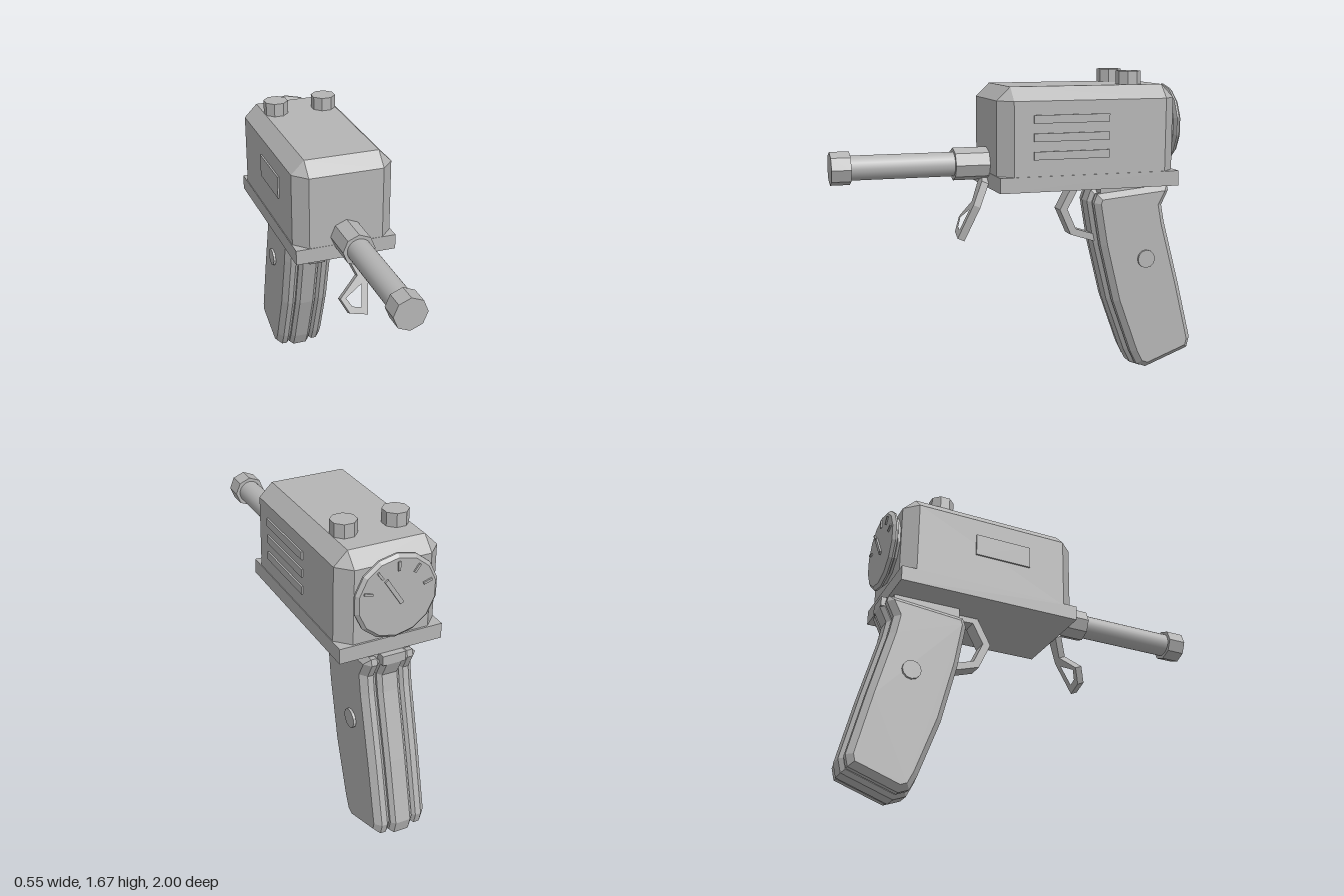
import * as THREE from 'three';
import { ConvexGeometry } from 'three/addons/geometries/ConvexGeometry.js';

export function createModel() {
  const model = new THREE.Group();
  const grey = new THREE.MeshStandardMaterial({ color: 0xb4b4b4 });
  grey.name = 'grey';

  const add = (name, geometry, x = 0, y = 0, z = 0) => {
    const mesh = new THREE.Mesh(geometry, grey);
    mesh.name = name;
    mesh.position.set(x, y, z);
    model.add(mesh);
    return mesh;
  };
  const box = (name, x0, x1, y0, y1, z0, z1) =>
    add(name, new THREE.BoxGeometry(x1 - x0, y1 - y0, z1 - z0), (x0 + x1) / 2, (y0 + y1) / 2, (z0 + z1) / 2);

  // Flat-sided prism of n sides, standing on y
  const prism = (r, h, n, turn = 0) => {
    const g = new THREE.CylinderGeometry(r, r, h, n).toNonIndexed();
    g.rotateY(turn);
    g.computeVertexNormals();
    return g;
  };

  // Outline given as [z, y] pairs, extruded evenly to both sides of x = 0
  const sideExtrude = (points, width, bevel = 0, inset = 0) => {
    const shape = new THREE.Shape(points.map(([z, y]) => new THREE.Vector2(-z, y)));
    const g = new THREE.ExtrudeGeometry(shape, {
      depth: width - 2 * bevel, bevelEnabled: bevel > 0, bevelSegments: 1,
      bevelSize: bevel, bevelThickness: bevel, bevelOffset: -bevel - inset,
    });
    g.translate(0, 0, bevel - width / 2);
    return g.rotateY(Math.PI / 2);
  };

  // Housing with chamfered top and vertical edges, on a flat base
  box('basePlate', -0.271, 0.271, 1.07, 1.15, -0.81, 0.18);
  const corners = [];
  for (const s of [-1, 1]) {
    for (const [inner, outer] of [[0.105, 0.178], [-0.73, -0.8]]) {
      corners.push(new THREE.Vector3(s * 0.198, 1.605, inner));
      for (const y of [1.14, 1.535]) {
        corners.push(new THREE.Vector3(s * 0.267, y, inner), new THREE.Vector3(s * 0.198, y, outer));
      }
    }
  }
  add('housing', new ConvexGeometry(corners));

  // Side vents and plate
  for (const y of [1.257, 1.35, 1.443]) box('vent', 0.26, 0.276, y - 0.021, y + 0.021, -0.41, 0);
  box('sidePlate', -0.276, -0.26, 1.32, 1.44, -0.41, -0.1);

  // Top knobs
  for (const x of [-0.135, 0.135]) add('topKnob', prism(0.066, 0.08, 8, Math.PI / 8), x, 1.635, -0.565);

  // Rear dial with needle and ticks
  const profile = [[0, 0], [0.19, 0], [0.19, 0.02], [0.217, 0.03], [0.217, 0.04], [0.2, 0.055], [0, 0.055]];
  const dialGeo = new THREE.LatheGeometry(profile.map(([r, h]) => new THREE.Vector2(r, h)), 14).toNonIndexed();
  dialGeo.rotateX(-Math.PI / 2);
  dialGeo.computeVertexNormals();
  add('dial', dialGeo, 0, 1.378, -0.793);
  const needle = add('dialNeedle', new THREE.BoxGeometry(0.02, 0.155, 0.016), 0.022, 1.413, -0.85);
  needle.rotation.z = -0.58;
  for (let i = 0; i < 5; i++) {
    const a = Math.PI * (0.1 + 0.2 * i);
    const tick = add('dialTick', new THREE.BoxGeometry(0.045, 0.012, 0.012),
      0.16 * Math.cos(a), 1.378 + 0.16 * Math.sin(a), -0.85);
    tick.rotation.z = a;
  }

  // Barrel with octagonal collar and muzzle
  const barrelPart = (name, geometry, z) => add(name, geometry.rotateX(Math.PI / 2), 0, 1.197, z);
  barrelPart('barrel', new THREE.CylinderGeometry(0.064, 0.064, 0.76, 24), 0.56);
  barrelPart('barrelCollar', prism(0.086, 0.2, 8), 0.26);
  barrelPart('muzzle', prism(0.086, 0.1, 8), 0.95);

  // Leaning loop hanging below the barrel; points are [x, drop]
  const drop = ([x, y]) => new THREE.Vector2(x, y * 1.095);
  const loop = new THREE.Shape([[0, 0.02], [0.055, -0.02], [0.085, -0.14], [0.055, -0.32], [-0.04, -0.3],
    [-0.08, -0.225], [0.028, -0.128], [-0.015, -0.03]].map(drop));
  loop.holes.push(new THREE.Path([[0.045, -0.17], [0.025, -0.28], [-0.022, -0.27], [-0.05, -0.225]].map(drop)));
  const loopGeo = new THREE.ExtrudeGeometry(loop, { depth: 0.04, bevelEnabled: false });
  loopGeo.translate(0, 0, -0.02);
  add('hangingLoop', loopGeo, 0, 1.12, 0.19).rotation.x = -0.42;

  // Trigger guard
  add('triggerGuard', sideExtrude([[-0.44, 1.075], [-0.3, 1.075], [-0.222, 0.93], [-0.285, 0.79], [-0.44, 0.74],
    [-0.44, 0.78], [-0.315, 0.82], [-0.265, 0.93], [-0.325, 1.04], [-0.44, 1.035]], 0.09));

  // Grip: central frame between two bevelled panels
  const grip = [[-0.40, 1.03], [-0.83, 1.07], [-0.842, 1.02], [-0.803, 0.94], [-0.82, 0.85], [-0.915, 0.5],
    [-0.997, 0.17], [-0.98, 0.1], [-0.715, 0.005], [-0.65, 0.03], [-0.61, 0.11], [-0.5, 0.41],
    [-0.42, 0.73], [-0.378, 0.97]];
  add('gripFrame', sideExtrude(grip, 0.12, 0.02));
  for (const s of [-1, 1]) {
    add('gripPanel', sideExtrude(grip, 0.09, 0.03, 0.014), s * 0.095);
    add('gripScrew', prism(0.05, 0.03, 12).rotateZ(Math.PI / 2), s * 0.138, 0.65, -0.69);
  }
  box('gripMount', -0.11, 0.11, 1.02, 1.075, -0.79, -0.43);
  box('gripTang', -0.06, 0.06, 1.02, 1.07, -0.842, -0.76);

  return model;
}
